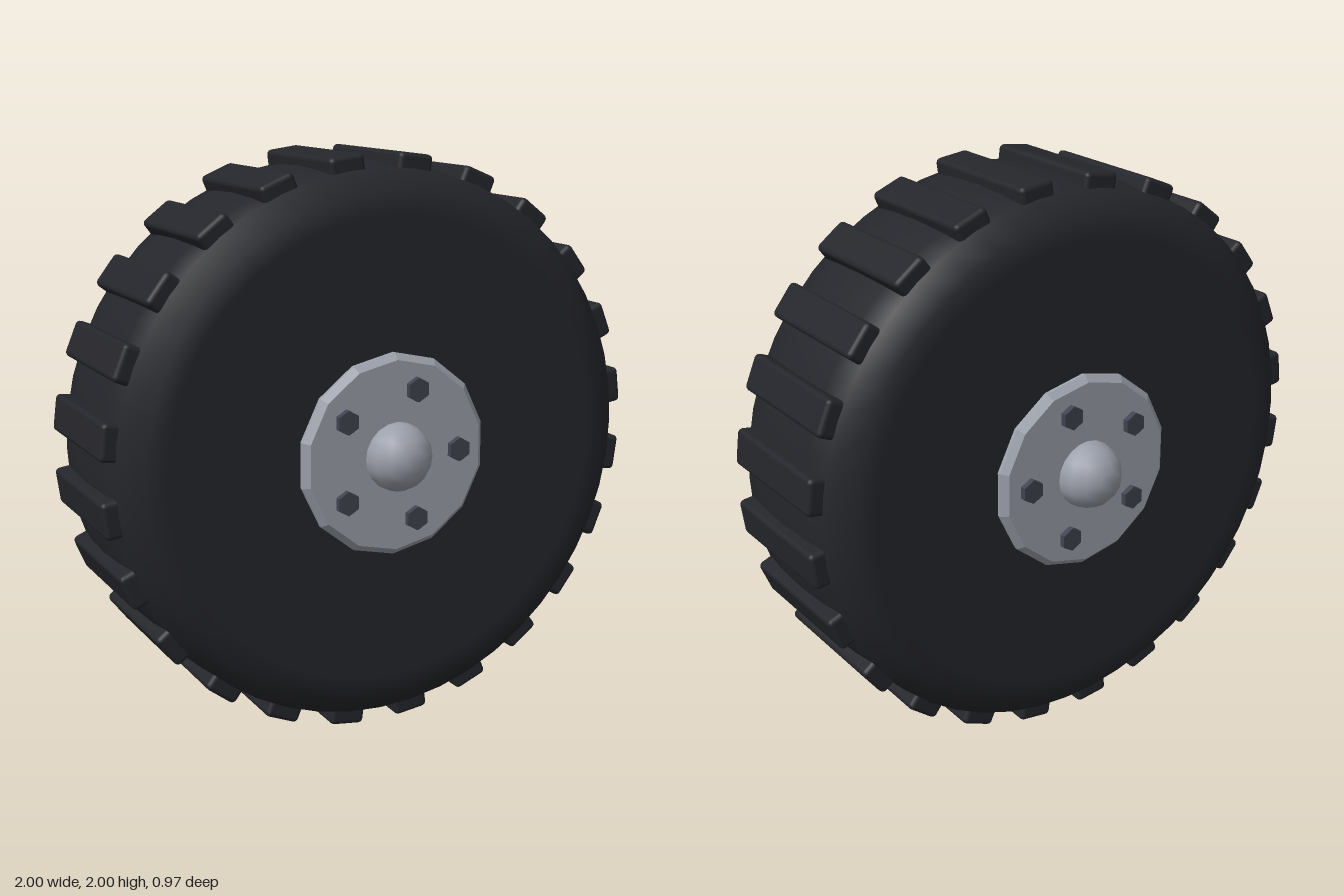
import * as THREE from 'three';
import { RoundedBoxGeometry } from 'three/addons/geometries/RoundedBoxGeometry.js';

const paint = (color, flatShading = false) => {
  const m = new THREE.MeshStandardMaterial({ color });
  m.flatShading = flatShading;
  return m;
};

// Solid of revolution around the z axis from [radius, z] points, running back to front
function turned(points, sides, material, name) {
  const geo = new THREE.LatheGeometry(points.map(([r, z]) => new THREE.Vector2(r, z)), sides);
  geo.rotateX(Math.PI / 2);
  const mesh = new THREE.Mesh(geo, material);
  mesh.name = name;
  return mesh;
}

export function createModel() {
  const rubber = paint(0x25262b);
  const steel = paint(0x9b9faa, true);
  const steelSmooth = paint(0x9b9faa);
  const dark = paint(0x40434f, true);

  const wheel = new THREE.Group();
  wheel.name = 'wheel';
  wheel.position.y = 1;

  // Tyre body: flat sidewalls, sloped shoulders, slightly crowned running surface
  const half = [[0, 0.33], [0.8, 0.33], [0.875, 0.33], [0.95, 0.258], [0.962, 0.15]];
  const profile = [...half.map(([r, z]) => [r, -z]), [0.968, 0], ...half.slice().reverse()];
  wheel.add(turned(profile, 48, rubber, 'tyre'));

  // Tread blocks around the rim
  const treads = new THREE.Group();
  treads.name = 'treads';
  const blockGeo = new RoundedBoxGeometry(0.075, 0.128, 0.51, 2, 0.017);
  const count = 24;
  for (let i = 0; i < count; i++) {
    const a = ((i + 0.5) / count) * Math.PI * 2;
    const block = new THREE.Mesh(blockGeo, rubber);
    block.name = 'treadBlock';
    block.position.set(Math.cos(a) * 0.963, Math.sin(a) * 0.963, 0);
    block.rotation.z = a;
    treads.add(block);
  }
  wheel.add(treads);

  // Hub plate, cap and bolts, the same on both faces
  const boltGeo = new THREE.CylinderGeometry(0.042, 0.045, 0.06, 6).rotateX(Math.PI / 2);
  const capGeo = new THREE.SphereGeometry(0.118, 14, 10);
  for (const side of [1, -1]) {
    const hub = new THREE.Group();
    hub.name = side > 0 ? 'frontHub' : 'backHub';

    const plate = turned(
      side > 0
        ? [[0.35, 0.3], [0.35, 0.343], [0.328, 0.365], [0, 0.365]]
        : [[0, -0.365], [0.328, -0.365], [0.35, -0.343], [0.35, -0.3]],
      14, steel, 'hubPlate');
    hub.add(plate);

    const cap = new THREE.Mesh(capGeo, steelSmooth);
    cap.name = 'hubCap';
    cap.position.z = side * 0.368;
    hub.add(cap);

    for (let i = 0; i < 5; i++) {
      const a = (i / 5) * Math.PI * 2;
      const bolt = new THREE.Mesh(boltGeo, dark);
      bolt.name = 'bolt';
      bolt.position.set(Math.cos(a) * 0.235, Math.sin(a) * 0.235, side * 0.355);
      if (side < 0) bolt.rotation.y = Math.PI;
      hub.add(bolt);
    }
    wheel.add(hub);
  }

  const model = new THREE.Group();
  model.name = 'model';
  model.add(wheel);
  return model;
}
